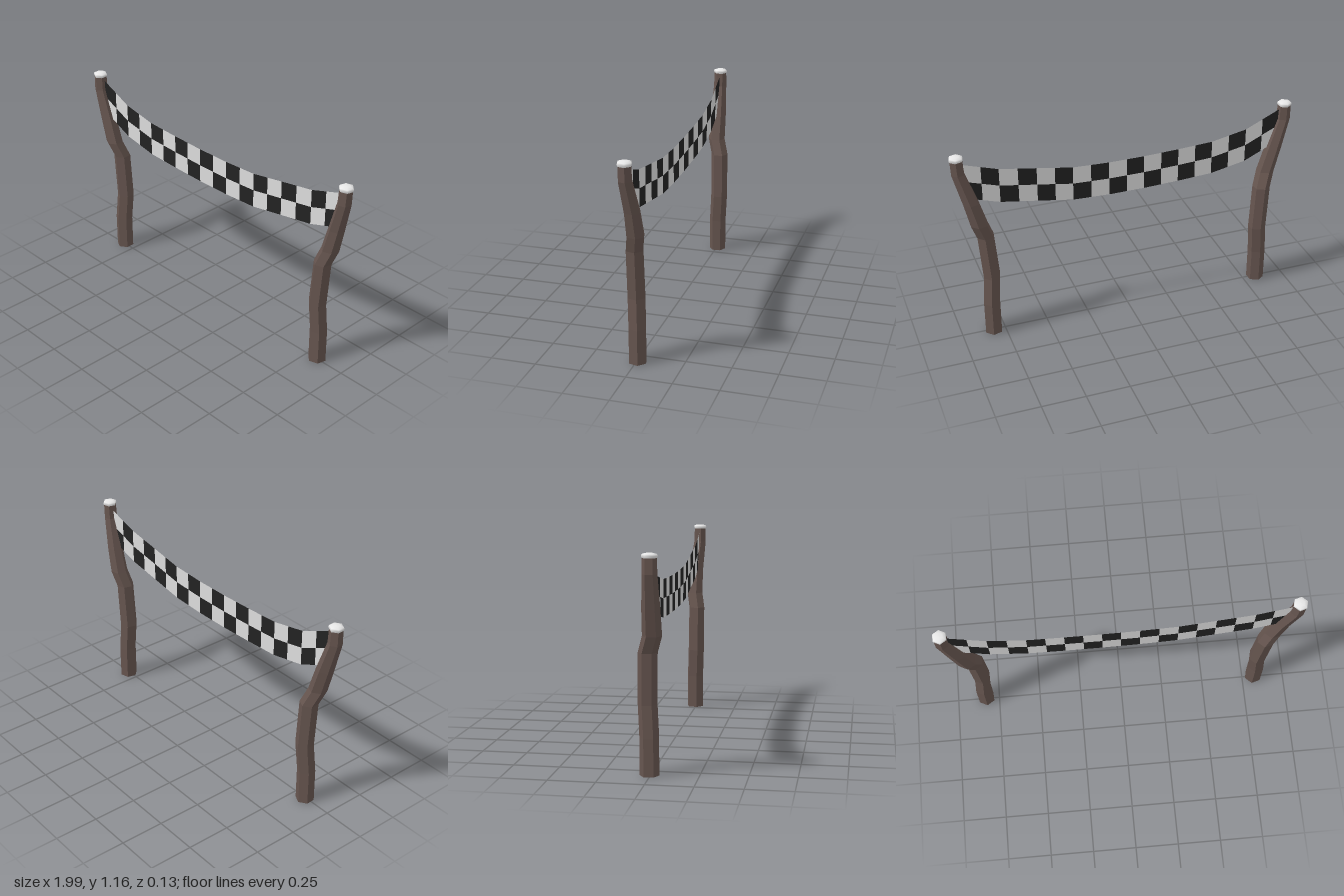
import * as THREE from 'three';

const SIDES = 6;

// Flat-shaded hexagonal post lofted through rings of [x, y, z, radius]
function loftPost(rings, turn) {
  const pos = [];
  const at = ([x, y, z, r], j) => {
    const a = turn + (j / SIDES) * Math.PI * 2;
    return [x + r * Math.sin(a), y, z + r * Math.cos(a)];
  };
  const first = rings[0], last = rings[rings.length - 1];
  for (let j = 0; j < SIDES; j++) {
    for (let i = 0; i < rings.length - 1; i++) {
      const a = at(rings[i], j), b = at(rings[i], j + 1);
      const c = at(rings[i + 1], j + 1), d = at(rings[i + 1], j);
      pos.push(...a, ...b, ...c, ...a, ...c, ...d);
    }
    // closed ends
    pos.push(...first.slice(0, 3), ...at(first, j + 1), ...at(first, j));
    pos.push(...last.slice(0, 3), ...at(last, j), ...at(last, j + 1));
  }
  const g = new THREE.BufferGeometry();
  g.setAttribute('position', new THREE.Float32BufferAttribute(pos, 3));
  g.computeVertexNormals();
  return g;
}

// Sagging strip of checks: half-segment columns, two rows; parity picks the colour
function checks(parity) {
  const xs = [-0.93, -0.725, -0.516, -0.31, -0.104, 0.104, 0.315, 0.52, 0.73, 0.925];
  const ys = [1.11, 1.016, 0.975, 0.965, 0.959, 0.959, 0.968, 1.003, 1.038, 1.1];
  const height = 0.204;
  const point = (col, row) => {
    const i = Math.min(Math.floor(col / 2), xs.length - 2), t = col / 2 - i;
    const x = THREE.MathUtils.lerp(xs[i], xs[i + 1], t);
    const y = THREE.MathUtils.lerp(ys[i], ys[i + 1], t) - (row / 2) * height;
    return [x, y, 0.01 - 0.01 * x];
  };
  const pos = [];
  for (let col = 0; col < (xs.length - 1) * 2; col++) {
    for (let row = 0; row < 2; row++) {
      if ((col + row) % 2 !== parity) continue;
      const a = point(col, row + 1), b = point(col + 1, row + 1);
      const c = point(col + 1, row), d = point(col, row);
      pos.push(...a, ...b, ...c, ...a, ...c, ...d);
    }
  }
  const g = new THREE.BufferGeometry();
  g.setAttribute('position', new THREE.Float32BufferAttribute(pos, 3));
  g.computeVertexNormals();
  return g;
}

export function createModel() {
  const model = new THREE.Group();
  model.name = 'finishBanner';

  const material = (name, color) => {
    const m = new THREE.MeshStandardMaterial({ color });
    m.name = name;
    return m;
  };
  const wood = material('brown wood', 0x66554f);
  const capWhite = material('cap white', 0xe8e8e8);
  const clothWhite = material('cloth white', 0xdcdcdc);
  const clothBlack = material('cloth black', 0x222222);
  clothWhite.side = clothBlack.side = THREE.DoubleSide;

  const add = (name, geometry, mat) => {
    const mesh = new THREE.Mesh(geometry, mat);
    mesh.name = name;
    model.add(mesh);
    return mesh;
  };

  // Crooked posts
  const posts = {
    right: {
      turn: 0.06,
      rings: [
        [-0.828, 0, -0.006, 0.051], [-0.828, 0.2, -0.006, 0.051],
        [-0.816, 0.37, -0.016, 0.051], [-0.83, 0.64, -0.012, 0.051],
        [-0.862, 0.73, 0.016, 0.051], [-0.903, 0.87, 0.018, 0.048],
        [-0.958, 1.05, 0.022, 0.039], [-0.96, 1.14, 0.022, 0.037],
      ],
    },
    left: {
      turn: -0.24,
      rings: [
        [0.818, 0, -0.006, 0.052], [0.818, 0.2, -0.006, 0.052],
        [0.806, 0.37, 0, 0.052], [0.827, 0.64, 0, 0.051],
        [0.86, 0.73, -0.017, 0.051], [0.897, 0.87, -0.014, 0.046],
        [0.951, 1.05, 0.002, 0.039], [0.957, 1.14, 0.002, 0.037],
      ],
    },
  };

  // Soft-edged cap profile, from the post rim to the centre
  const capProfile = [[0.036, 1.128], [0.042, 1.14], [0.038, 1.15], [0.02, 1.155], [0, 1.156]]
    .map(([r, y]) => new THREE.Vector2(r, y));

  for (const [side, { rings, turn }] of Object.entries(posts)) {
    add(`${side}Post`, loftPost(rings, turn), wood);
    const cap = add(`${side}PostCap`, new THREE.LatheGeometry(capProfile, SIDES), capWhite);
    const [x, , z] = rings[rings.length - 1];
    cap.position.set(x, 0, z);
    cap.rotation.y = turn;
  }

  // Checkered cloth hung between the posts
  add('bannerDarkChecks', checks(0), clothBlack);
  add('bannerLightChecks', checks(1), clothWhite);

  return model;
}
